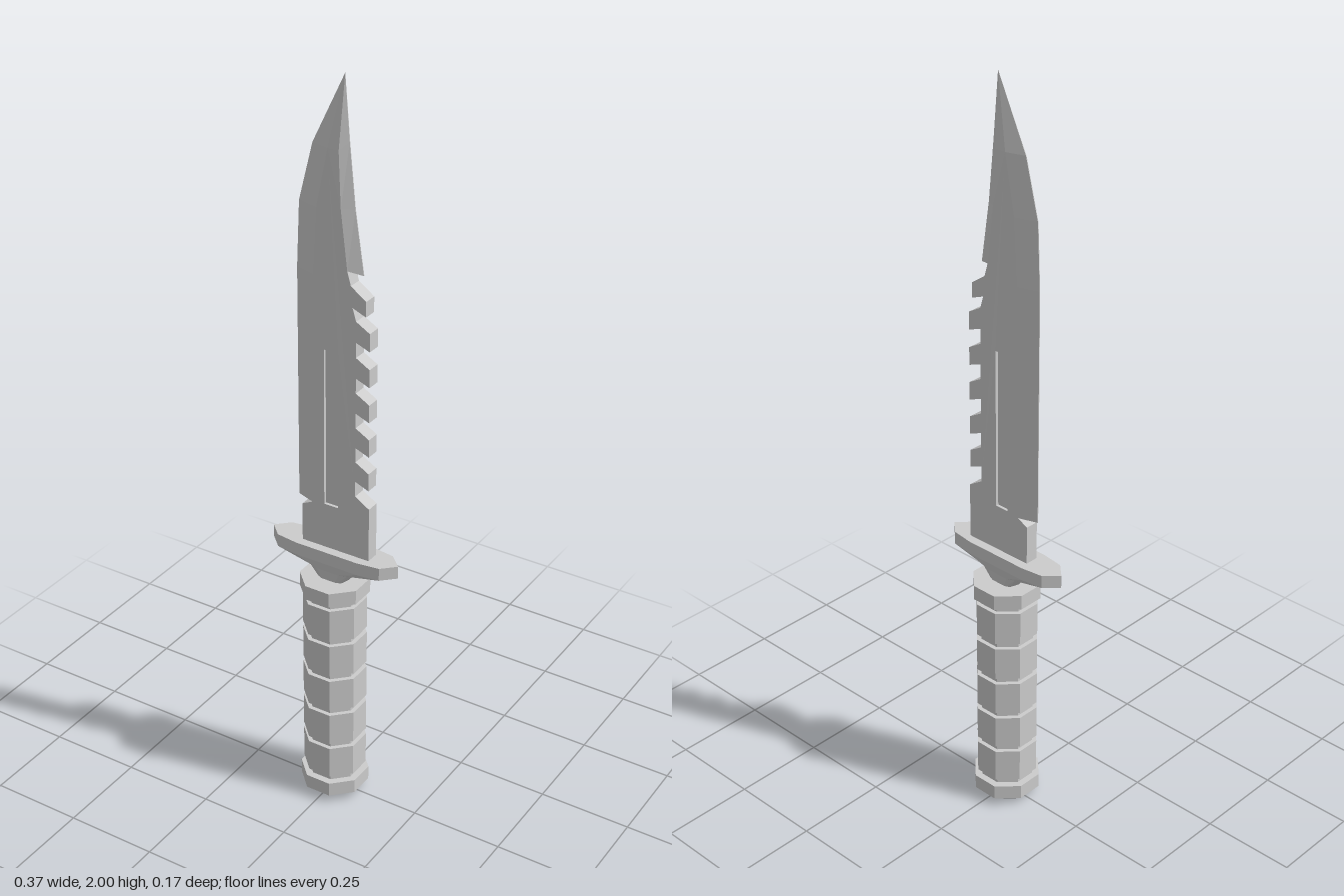
import * as THREE from 'three';

const material = new THREE.MeshStandardMaterial({ color: 0xcccccc, flatShading: true });
const TIP = [0.027, 2];
const HALF = 0.018; // half thickness of the blade

// half thickness thins out towards the tip
const halfAt = (y) => HALF * Math.min(1, Math.max(0, (2 - y) / 0.2));

// closed flat-shaded solid through rings of [x, y, z], listed bottom to top, anticlockwise from above
function loft(rings) {
  const pos = [];
  const tri = (a, b, c) => pos.push(...a, ...b, ...c);
  const n = rings[0].length;
  for (let k = 0; k < rings.length - 1; k++) {
    const a = rings[k], b = rings[k + 1];
    for (let i = 0; i < n; i++) {
      const j = (i + 1) % n;
      tri(a[i], a[j], b[j]);
      tri(a[i], b[j], b[i]);
    }
  }
  const bottom = rings[0], top = rings[rings.length - 1];
  for (let i = 1; i < n - 1; i++) {
    tri(bottom[0], bottom[i + 1], bottom[i]);
    tri(top[0], top[i], top[i + 1]);
  }
  const geometry = new THREE.BufferGeometry();
  geometry.setAttribute('position', new THREE.Float32BufferAttribute(pos, 3));
  geometry.computeVertexNormals();
  return geometry;
}

// ground bevel between a thick ridge line and a thin edge line; side is -1 for -x, 1 for +x
function bevel(ridge, edge, side) {
  return loft(ridge.map(([rx, ry], i) => {
    const [ex, ey] = edge[i];
    const t = -side * halfAt(ry), e = -side * Math.min(0.001, halfAt(ey));
    return [[rx, ry, t], [rx, ry, -t], [ex, ey, -e], [ex, ey, e]];
  }));
}

export function createModel() {
  const group = new THREE.Group();
  const add = (name, geometry) => {
    const mesh = new THREE.Mesh(geometry, material);
    mesh.name = name;
    group.add(mesh);
    return mesh;
  };

  // eight-sided grip with grooves, pommel and collar; radii are measured to the flats
  const profile = [[0, 0], [0.058, 0], [0.084, 0.022], [0.084, 0.062], [0.066, 0.062]];
  for (let i = 0; i < 5; i++) {
    const y = 0.08 + i * 0.109;
    profile.push([0.066, y], [0.077, y], [0.077, y + 0.092], [0.066, y + 0.092]);
  }
  profile.push([0.066, 0.626], [0.084, 0.626], [0.084, 0.666], [0, 0.666]);
  const toCorner = 1 / Math.cos(Math.PI / 8);
  add('grip', new THREE.LatheGeometry(
    profile.map(([r, y]) => new THREE.Vector2(r * toCorner, y)), 8, Math.PI / 8));

  // guard: pointed plate narrowing down to the neck
  const plan = [[0.185, 0], [0.15, -0.034], [0.09, -0.042], [-0.09, -0.042], [-0.15, -0.034],
    [-0.185, 0], [-0.15, 0.034], [-0.09, 0.042], [0.09, 0.042], [0.15, 0.034]];
  const guardRing = (y, sx, sz) => plan.map(([x, z]) => [x * sx, y, z * sz]);
  add('guard', loft([
    guardRing(0.66, 0.2, 0.72), guardRing(0.695, 0.36, 0.85),
    guardRing(0.72, 1, 1), guardRing(0.755, 1, 1),
  ]));

  // outlines of the ground parts, bottom to top
  const ridge = [[-0.055, 0.875], [-0.05, 1.5], [-0.04, 1.67], [-0.01, 1.82], TIP];
  const edge = [[-0.105, 0.875], [-0.105, 1.5], [-0.098, 1.67], [-0.06, 1.82], TIP];
  const clipRidge = [[0.045, 1.53], [0.027, 1.68], [0.02, 1.82], TIP];
  const clipEdge = [[0.08, 1.52], [0.056, 1.68], [0.04, 1.84], TIP];

  // flat of the blade: ricasso, saw teeth up the spine, then back down the ridge
  const outline = [[-0.085, 0.75], [0.11, 0.75], [0.11, 0.905], [0.07, 0.93]];
  for (let i = 0; i < 5; i++) {
    const y = 1.005 + i * 0.095;
    outline.push([0.07, y - 0.033], [0.108, y - 0.048], [0.108, y], [0.07, y + 0.022]);
  }
  outline.push([0.06, 1.44], [0.097, 1.425], [0.097, 1.465], [0.055, 1.495]);
  outline.push(...clipRidge, ...ridge.slice(0, -1).reverse(), [-0.085, 0.86]);
  const shape = new THREE.Shape(outline.map(([x, y]) => new THREE.Vector2(x, y)));
  const fuller = [[-0.02, 0.88], [-0.02, 1.31], [0.02, 1.31], [0.02, 0.88]];
  shape.holes.push(new THREE.Path(fuller.map(([x, y]) => new THREE.Vector2(x, y))));
  const body = new THREE.ExtrudeGeometry(shape, { depth: 2, bevelEnabled: false });
  const p = body.attributes.position;
  for (let i = 0; i < p.count; i++) p.setZ(i, (p.getZ(i) - 1) * halfAt(p.getY(i)));
  body.computeVertexNormals();
  add('bladeBody', body);

  // recessed floor of the fuller, seen from both faces
  add('fullerFloor', new THREE.BoxGeometry(0.04, 0.43, 0.02)).position.set(0, 1.095, 0);

  // cutting edge and sharpened clip
  add('cuttingEdge', bevel(ridge, edge, -1));
  add('clipEdge', bevel(clipRidge, clipEdge, 1));

  return group;
}
